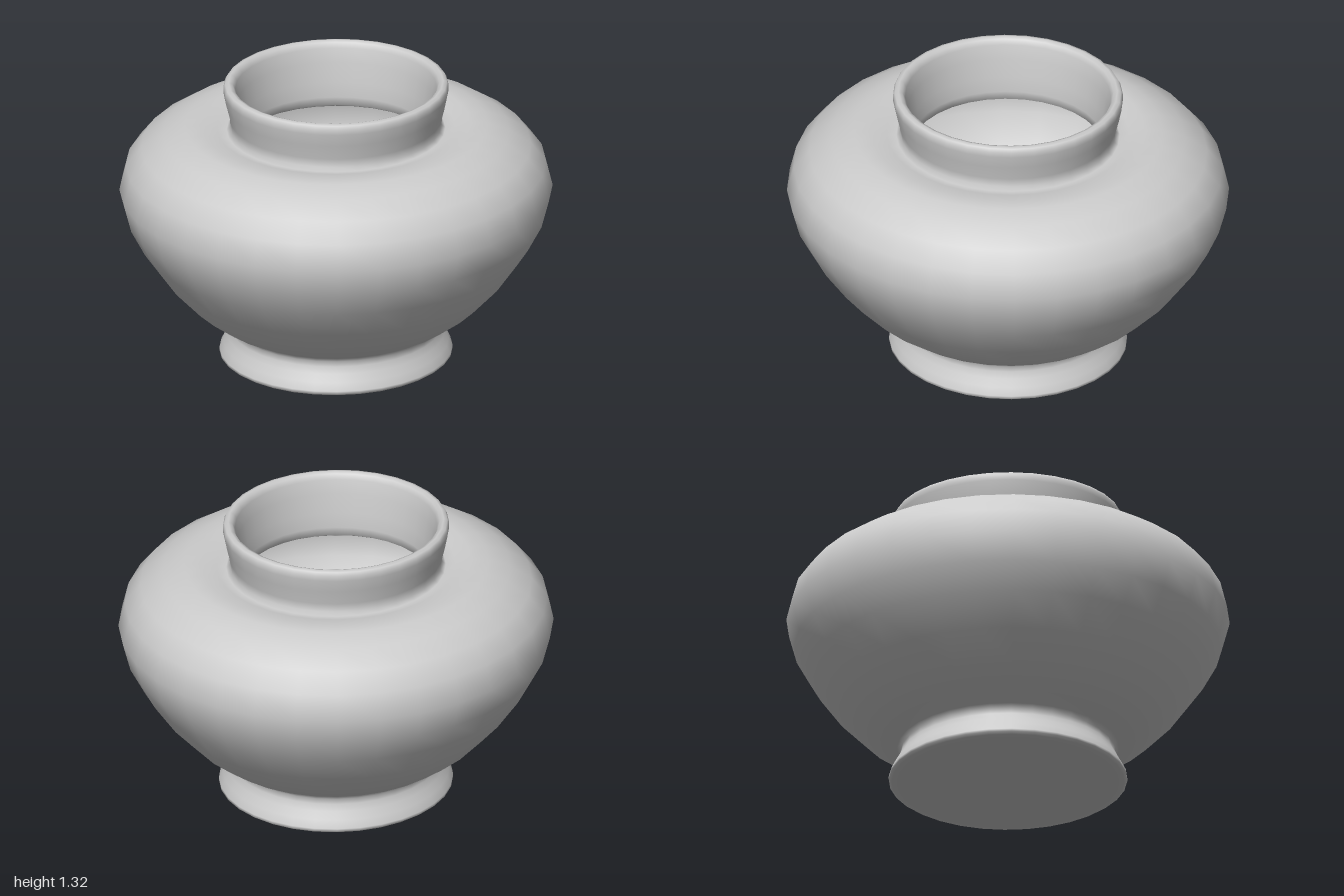
import * as THREE from 'three';

export function createModel() {
  const group = new THREE.Group();
  group.name = 'pot';
  const material = new THREE.MeshStandardMaterial({ color: 0xcccccc, side: THREE.DoubleSide });

  // Profile sections as [radius, height], from the base up the outside and down the inside
  const foot = [
    [0, 0], [0.5, 0], [0.525, 0.003], [0.538, 0.012], [0.538, 0.025],
    [0.52, 0.06], [0.5, 0.095], [0.487, 0.125], [0.485, 0.15],
  ];
  const belly = [
    [0.5, 0.17], [0.57, 0.205], [0.68, 0.285], [0.8, 0.41], [0.9, 0.55],
    [0.965, 0.67], [1, 0.8], [0.97, 0.92], [0.9, 1.005], [0.8, 1.07], [0.7, 1.105],
  ];
  const neck = [
    [0.62, 1.106], [0.55, 1.092], [0.505, 1.085], [0.487, 1.1], [0.49, 1.14],
    [0.508, 1.21], [0.52, 1.27], [0.52, 1.295], [0.512, 1.31], [0.495, 1.315],
  ];
  const inside = [
    [0.477, 1.308], [0.465, 1.285], [0.452, 1.22], [0.438, 1.13], [0.43, 1.06],
    [0.433, 1.02], [0.46, 1.005], [0.6, 1.03], [0.75, 1.01], [0.87, 0.93], [0.93, 0.8],
    [0.9, 0.68], [0.83, 0.54], [0.72, 0.4], [0.58, 0.29], [0.42, 0.215], [0.25, 0.185], [0, 0.18],
  ];
  const profile = [...foot, ...belly, ...neck, ...inside].map(([r, y]) => new THREE.Vector2(r, y));

  const body = new THREE.Mesh(new THREE.LatheGeometry(profile, 32), material);
  body.name = 'potBody';
  body.scale.x = 0.972; // slightly oval
  group.add(body);
  return group;
}
